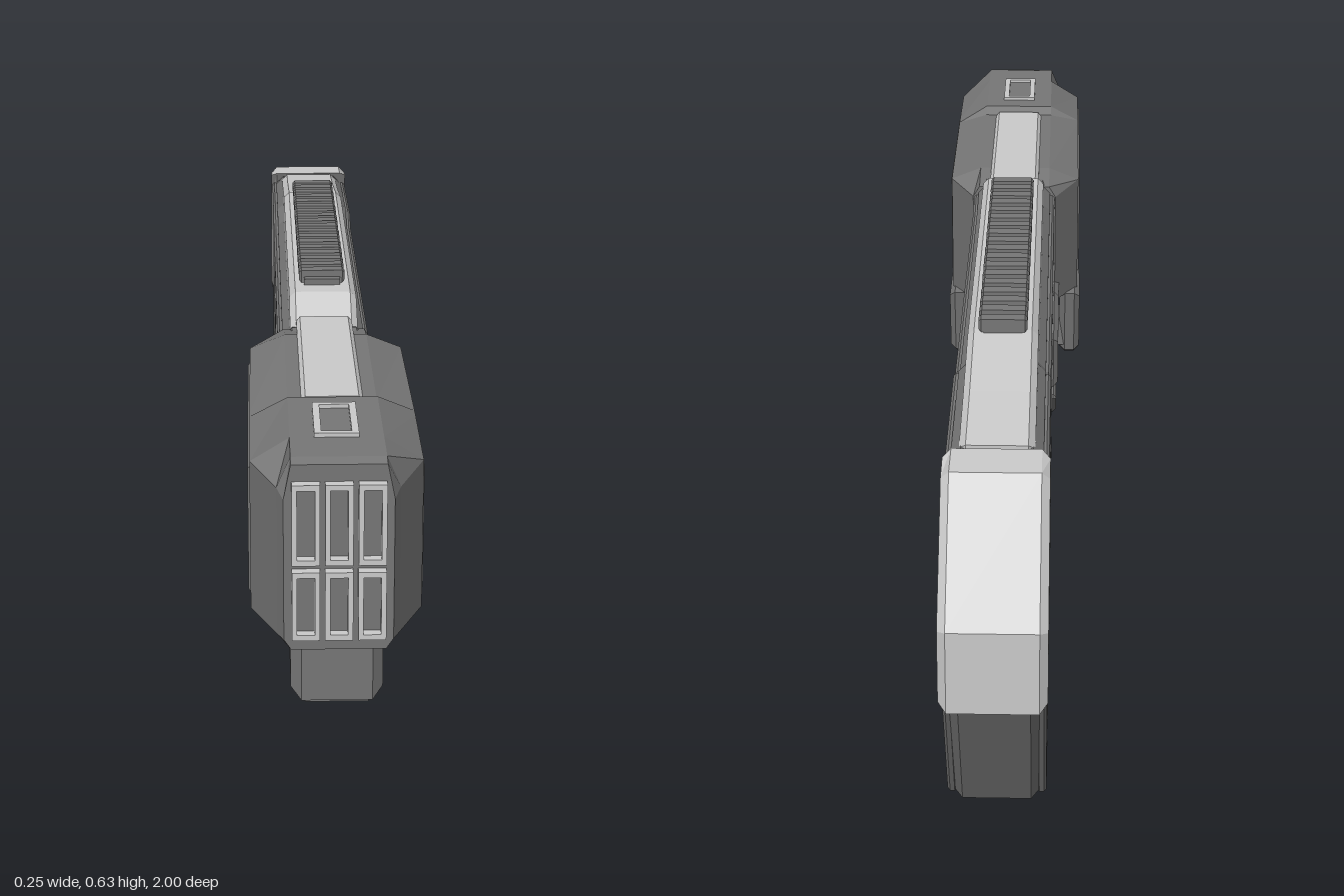
import * as THREE from 'three';

const dark = new THREE.MeshStandardMaterial({ color: 0x777777, flatShading: true });
const light = new THREE.MeshStandardMaterial({ color: 0xcccccc, flatShading: true });

// Slab with a [z, y] outline, reaching from x0 to x1
function slab(points, x0, x1, bevel = 0, holes = []) {
  const toVec = ([z, y]) => new THREE.Vector2(-z, y);
  const shape = new THREE.Shape(points.map(toVec));
  holes.forEach(h => shape.holes.push(new THREE.Path(h.map(toVec))));
  const depth = x1 - x0 - 2 * bevel;
  const geo = new THREE.ExtrudeGeometry(shape, {
    depth, bevelEnabled: bevel > 0, bevelThickness: bevel, bevelSize: bevel,
    bevelOffset: -bevel, bevelSegments: 1,
  });
  return geo.translate(0, 0, x0 + bevel).rotateY(Math.PI / 2);
}

// Convex rings of equal length, ordered by rising z, joined and capped
function loft(rings) {
  const n = rings[0].length, index = [];
  rings.slice(1).forEach((_, r) => {
    for (let i = 0; i < n; i++) {
      const a = r * n + i, b = r * n + (i + 1) % n;
      index.push(a, b, b + n, a, b + n, a + n);
    }
  });
  const last = (rings.length - 1) * n;
  for (let i = 1; i < n - 1; i++) index.push(0, i + 1, i, last, last + i, last + i + 1);
  const geo = new THREE.BufferGeometry();
  geo.setAttribute('position', new THREE.Float32BufferAttribute(rings.flat(2), 3));
  geo.setIndex(index);
  const flat = geo.toNonIndexed();
  flat.computeVertexNormals();
  return flat;
}

const rect = (z0, z1, y0, y1) => [[z0, y0], [z1, y0], [z1, y1], [z0, y1]];

export function createModel() {
  const model = new THREE.Group();
  const add = (name, geo, mat = dark) => {
    const mesh = new THREE.Mesh(geo, mat);
    mesh.name = name;
    model.add(mesh);
    return mesh;
  };
  const box = (name, x0, x1, y0, y1, z0, z1, mat) =>
    add(name, new THREE.BoxGeometry(x1 - x0, y1 - y0, z1 - z0)
      .translate((x0 + x1) / 2, (y0 + y1) / 2, (z0 + z1) / 2), mat);
  // The same slab on the left (+x) and right (-x) side
  const pair = (name, pts, x0, x1, bevel, holes, mat) => {
    add(name + 'Left', slab(pts, x0, x1, bevel, holes), mat);
    add(name + 'Right', slab(pts, -x1, -x0, bevel, holes), mat);
  };

  // Receiver and stock, pierced by the trigger and grip openings
  const triggerHole = [[-.13, .245], [-.275, .04], [-.435, .04], [-.457, .09], [-.35, .245]];
  const gripHole = [[-.42, .245], [-.49, .135], [-.525, .125], [-.55, .17], [-.5, .245]];
  add('receiver', slab([[.41, .585], [.32, .585], [.25, .57], [-.45, .57], [-.5, .59], [-.78, .575],
    [-.84, .565], [-.98, .41], [-.985, .29], [-.955, .28], [-.82, .01], [-.23, .01], [-.04, .275],
    [0, .275], [.05, .25], [.41, .25]], -.067, .067, .015, [triggerHole, gripHole]));

  // Side skins with panel cut-outs
  const gripPanel = [[-.16, .41], [-.54, .41], [-.78, .04], [-.685, .04], [-.505, .3], [-.105, .3]];
  const stockPanel = [[-.635, .4], [-.845, .405], [-.915, .25], [-.79, .085]];
  const port = [[.14, .53], [-.37, .535], [-.37, .48], [-.07, .475], [-.03, .445], [.14, .445]];
  const skinTriggerHole = [[-.115, .252], [-.27, .033], [-.44, .033], [-.466, .09], [-.355, .252]];
  const skinGripHole = [[-.41, .252], [-.485, .13], [-.53, .118], [-.559, .17], [-.505, .252]];
  pair('sideSkin', [[.41, .565], [.32, .565], [.25, .55], [-.45, .55], [-.5, .57], [-.78, .56], [-.84, .55],
    [-.965, .4], [-.965, .3], [-.94, .28], [-.813, .018], [-.234, .018], [-.05, .268], [0, .268], [.41, .268]],
    .06, .075, .004, [gripPanel, stockPanel, port, skinTriggerHole, skinGripHole]);
  pair('gripPanel', [[-.17, .402], [-.536, .402], [-.766, .048], [-.69, .048], [-.51, .308], [-.125, .308]],
    .06, .072, .003, [], light);
  pair('stockPanel', [[-.655, .39], [-.838, .395], [-.9, .25], [-.793, .108]], .06, .071, .003);
  pair('portCover', [[.125, .515], [-.06, .515], [-.09, .505], [-.2, .505], [-.2, .488], [-.06, .488],
    [-.03, .46], [.125, .46]], .06, .073, .003);
  pair('portBar', rect(-.355, -.22, .49, .522), .06, .071, .003);

  // Butt pad
  add('buttPad', slab([[-.78, .582], [-.85, .58], [-1, .41], [-1, .28], [-.955, .28], [-.915, .42], [-.845, .515]],
    -.077, .077, .012), light);

  // Spine and ribbed top rail
  add('spine', slab([[.32, .58], [.24, .622], [-.45, .622], [-.62, .597], [-.77, .582], [-.77, .55], [.32, .55]],
    -.055, .055, .01), light);
  box('railBase', -.03, .03, .615, .632, -.46, .2);
  const ribs = 18;
  for (let i = 0; i < ribs; i++) {
    const z = -.46 + i * .66 / ribs;
    add('railRib', slab(rect(z, z + .022, .622, .643), -.038, .038, .004));
  }

  // Cheek panels and lower fore-end
  pair('cheekPanel', [[.41, .395], [.26, .385], [.21, .41], [-.01, .41], [-.005, .315], [.41, .31]], .06, .085, .008);
  add('foreEnd', slab([[.42, .31], [.41, .21], [.05, .22], [0, .27], [0, .31]], -.068, .068, .015));
  pair('foreEndBar', [[.4, .262], [.07, .262], [.03, .285], [.01, .285], [.05, .24], [.4, .235]], .06, .082, .005);

  // Front shroud, flaring out from the receiver and narrowing to the nose
  const ring = (z, w, top, side, bottom) => [[.065, top], [-.065, top], [-w, side], [-w, bottom],
    [-.065, bottom - .015], [.065, bottom - .015], [w, bottom], [w, side]].map(([x, y]) => [x, y, z]);
  add('shroud', loft([
    ring(.31, .077, .58, .56, .35), ring(.38, .12, .592, .57, .35), ring(.7, .12, .592, .575, .35),
    ring(.72, .12, .604, .575, .35), ring(.89, .12, .604, .57, .35), ring(.965, .084, .604, .56, .345),
    ring(.985, .075, .6, .55, .345),
  ]));
  pair('shroudPlate', [[.87, .555], [.75, .562], [.42, .56], [.42, .365], [.87, .365]], .112, .123, .004);
  pair('shroudFin', [[.49, .352], [.41, .2], [.36, .225], [.34, .352]], .087, .125, .01);
  pair('finBrace', rect(.36, .43, .235, .29), .06, .1, .004);

  // Shroud top details
  add('topPanel', slab(rect(.3, .7, .575, .598), -.045, .045, .006), light);
  [-1, 1].forEach(s => box('topSlotSide', s * .026 - .005, s * .026 + .005, .595, .61, .76, .89, light));
  [.765, .885].forEach(z => box('topSlotEnd', -.03, .03, .595, .61, z - .005, z + .005, light));

  // Lower barrel housing
  add('lowerHousing', slab([[.93, .225], [.93, .345], [.3, .345], [.3, .225]], -.065, .065, .015));
  box('lowerHousingKeel', -.045, .045, .218, .23, .42, .92);

  // Six framed muzzle openings in two rows
  [[.46, .576], [.35, .45]].forEach(([y0, y1]) => [-.045, 0, .045].forEach(x => {
    const outline = (w, m) => [[-w, y0 + m], [w, y0 + m], [w, y1 - m], [-w, y1 - m]]
      .map(p => new THREE.Vector2(...p));
    const frame = new THREE.Shape(outline(.019, 0));
    frame.holes.push(new THREE.Path(outline(.012, .008)));
    add('muzzleFrame', new THREE.ExtrudeGeometry(frame, { depth: .03, bevelEnabled: false })
      .translate(x, 0, .97), light);
  }));

  // Trigger
  add('trigger', slab([[-.32, .255], [-.345, .2], [-.335, .165], [-.375, .165], [-.375, .255]], -.018, .018, .004));

  return model;
}
